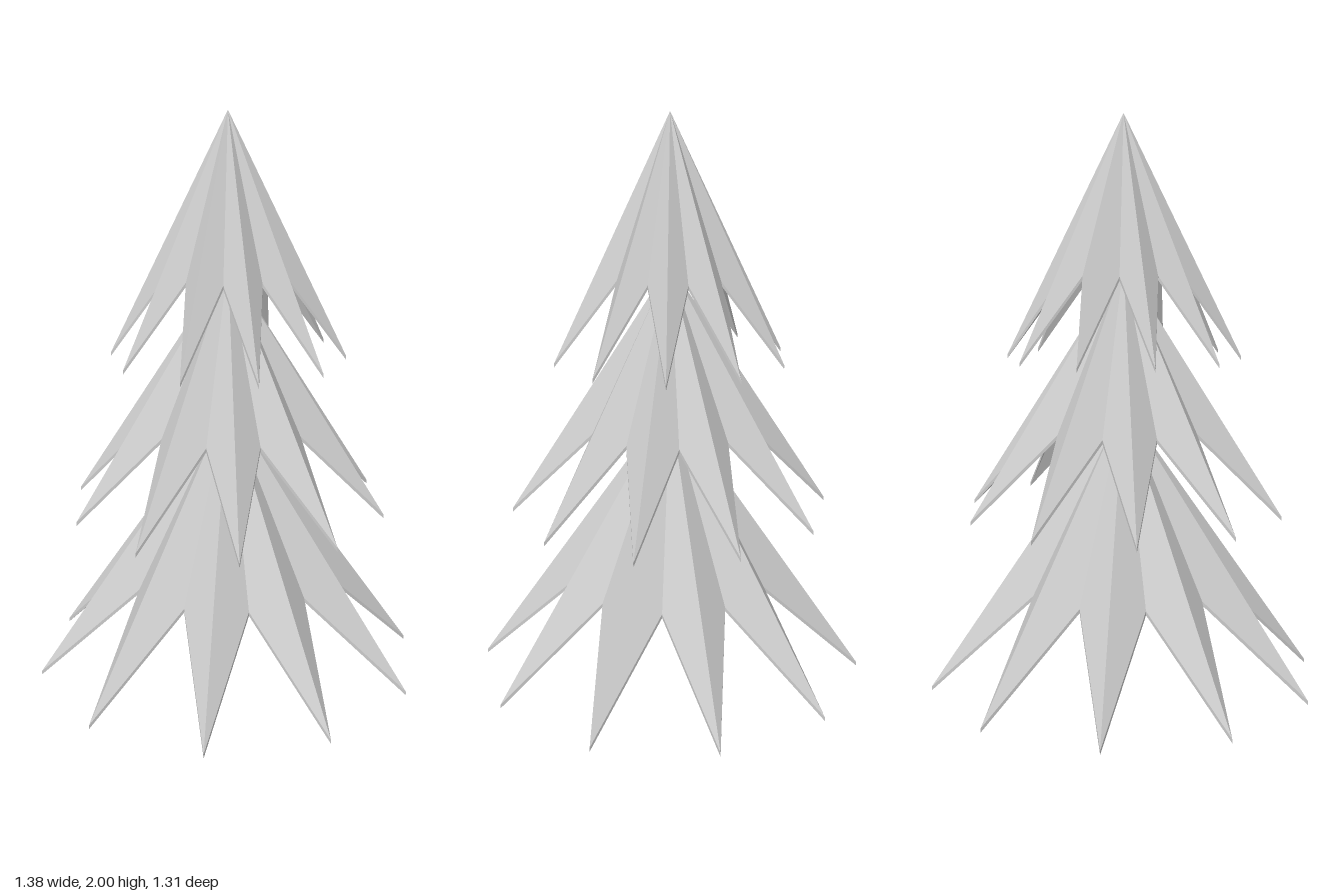
import * as THREE from 'three';

const POINTS = 10;
const THICKNESS = 0.014;

// Each tier: apex height, tip and valley radius and height, turn in degrees
const TIERS = [
  { name: 'lowerBranches', apex: 1.0, tipR: 0.69, tipY: 0.014, valleyR: 0.36, valleyY: 0.355, turn: 0 },
  { name: 'middleBranches', apex: 1.49, tipR: 0.562, tipY: 0.625, valleyR: 0.293, valleyY: 0.92, turn: -10.3 },
  { name: 'upperBranches', apex: 2.0, tipR: 0.41, tipY: 1.17, valleyR: 0.215, valleyY: 1.455, turn: 15.5 },
];

// Thin hollow star-shaped cone: outer skin, inner skin and a narrow rim
function starCone({ apex, tipR, tipY, valleyR, valleyY, turn }) {
  const ring = [];
  for (let i = 0; i < POINTS * 2; i++) {
    const a = THREE.MathUtils.degToRad(turn) + (i * Math.PI) / POINTS;
    const tip = i % 2 === 0;
    const r = tip ? tipR : valleyR;
    ring.push(new THREE.Vector3(Math.cos(a) * r, tip ? tipY : valleyY, Math.sin(a) * r));
  }
  const lower = (v) => new THREE.Vector3(v.x, v.y - THICKNESS, v.z);
  const top = new THREE.Vector3(0, apex, 0);
  const corners = [];
  ring.forEach((p0, i) => {
    const p1 = ring[(i + 1) % ring.length];
    const q0 = lower(p0), q1 = lower(p1);
    corners.push(top, p1, p0); // outer skin
    corners.push(lower(top), q0, q1); // inner skin
    corners.push(p0, p1, q1, p0, q1, q0); // rim
  });
  const geometry = new THREE.BufferGeometry().setFromPoints(corners);
  geometry.computeVertexNormals();
  return geometry;
}

export function createModel() {
  const tree = new THREE.Group();
  tree.name = 'firTree';
  const material = new THREE.MeshStandardMaterial({ color: 0xcccccc, flatShading: true });
  for (const tier of TIERS) {
    const mesh = new THREE.Mesh(starCone(tier), material);
    mesh.name = tier.name;
    tree.add(mesh);
  }
  return tree;
}
